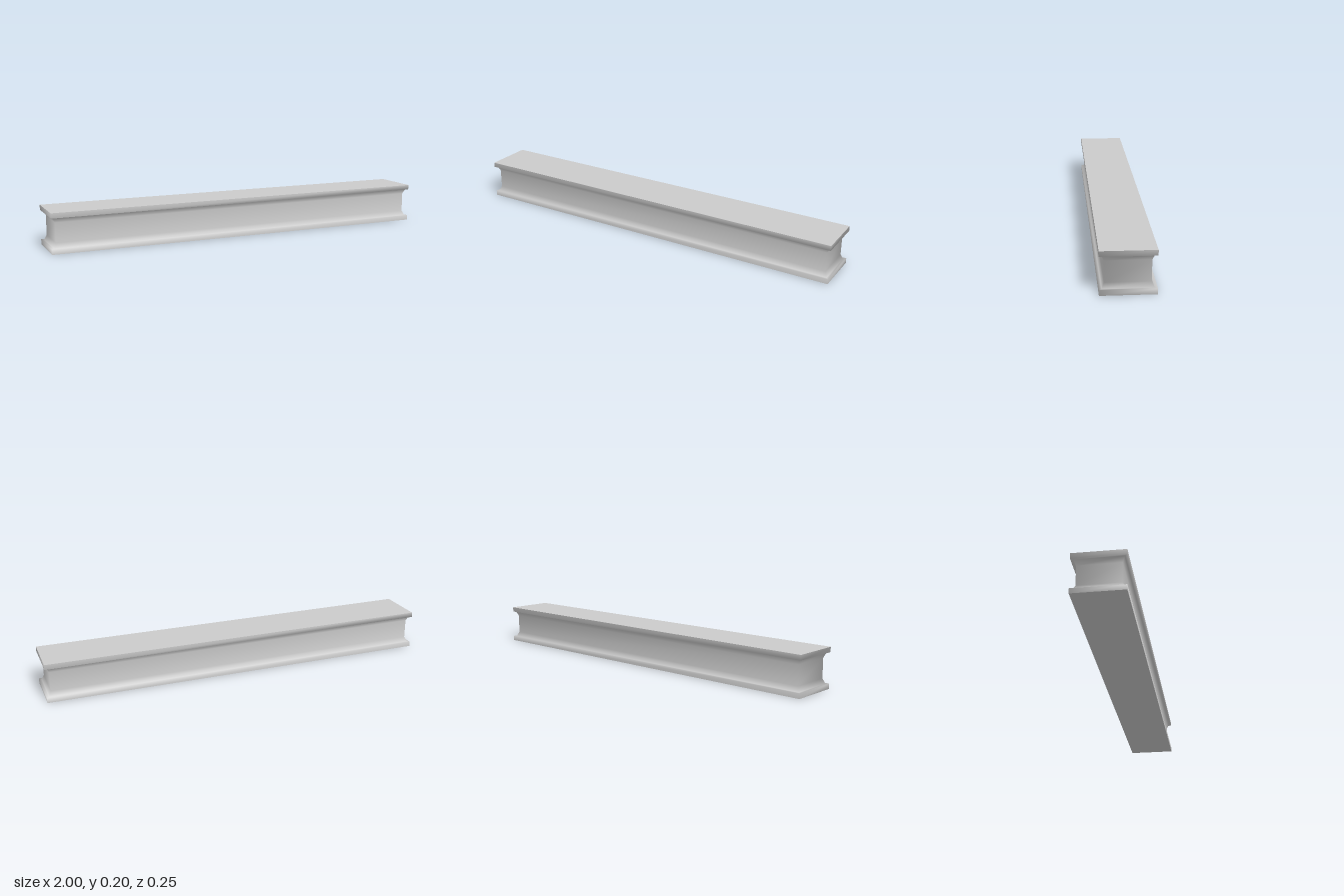
import * as THREE from 'three';

const material = new THREE.MeshStandardMaterial({ color: 0xcccccc });
const HALF_LENGTH = 1, HALF_WIDTH = 0.123, HEIGHT = 0.197;

// Half of the side profile as [inset, y]; mirrored about mid height below
const lower = [[0, 0], [0, 0.025], [0.012, 0.025], [0.023, 0.05]];
const profile = [...lower, ...lower.map(([d, y]) => [d, HEIGHT - y]).reverse()];

// Four corners of the rectangular cross-section, inset on all sides
function ring([inset, y]) {
  const x = HALF_LENGTH - inset, z = HALF_WIDTH - inset;
  return [x, y, z, x, y, -z, -x, y, -z, -x, y, z];
}

function indexedMesh(name, positions, indices) {
  const geometry = new THREE.BufferGeometry();
  geometry.setAttribute('position', new THREE.Float32BufferAttribute(positions, 3));
  geometry.setIndex(indices);
  geometry.computeVertexNormals();
  const mesh = new THREE.Mesh(geometry, material);
  mesh.name = name;
  return mesh;
}

export function createModel() {
  const group = new THREE.Group();
  group.name = 'beam';

  // Flange edges and recessed web: smooth shell running round all four sides
  const indices = [];
  for (let i = 0; i < profile.length - 1; i++) {
    for (let j = 0; j < 4; j++) {
      const a = i * 4 + j, b = i * 4 + (j + 1) % 4;
      indices.push(a, b, b + 4, a, b + 4, a + 4);
    }
  }
  group.add(indexedMesh('webAndFlangeEdges', profile.flatMap(ring), indices));

  // Flat outer faces of the two flanges
  group.add(indexedMesh('topFace', ring([0, HEIGHT]), [0, 1, 2, 0, 2, 3]));
  group.add(indexedMesh('bottomFace', ring([0, 0]), [0, 2, 1, 0, 3, 2]));
  return group;
}
